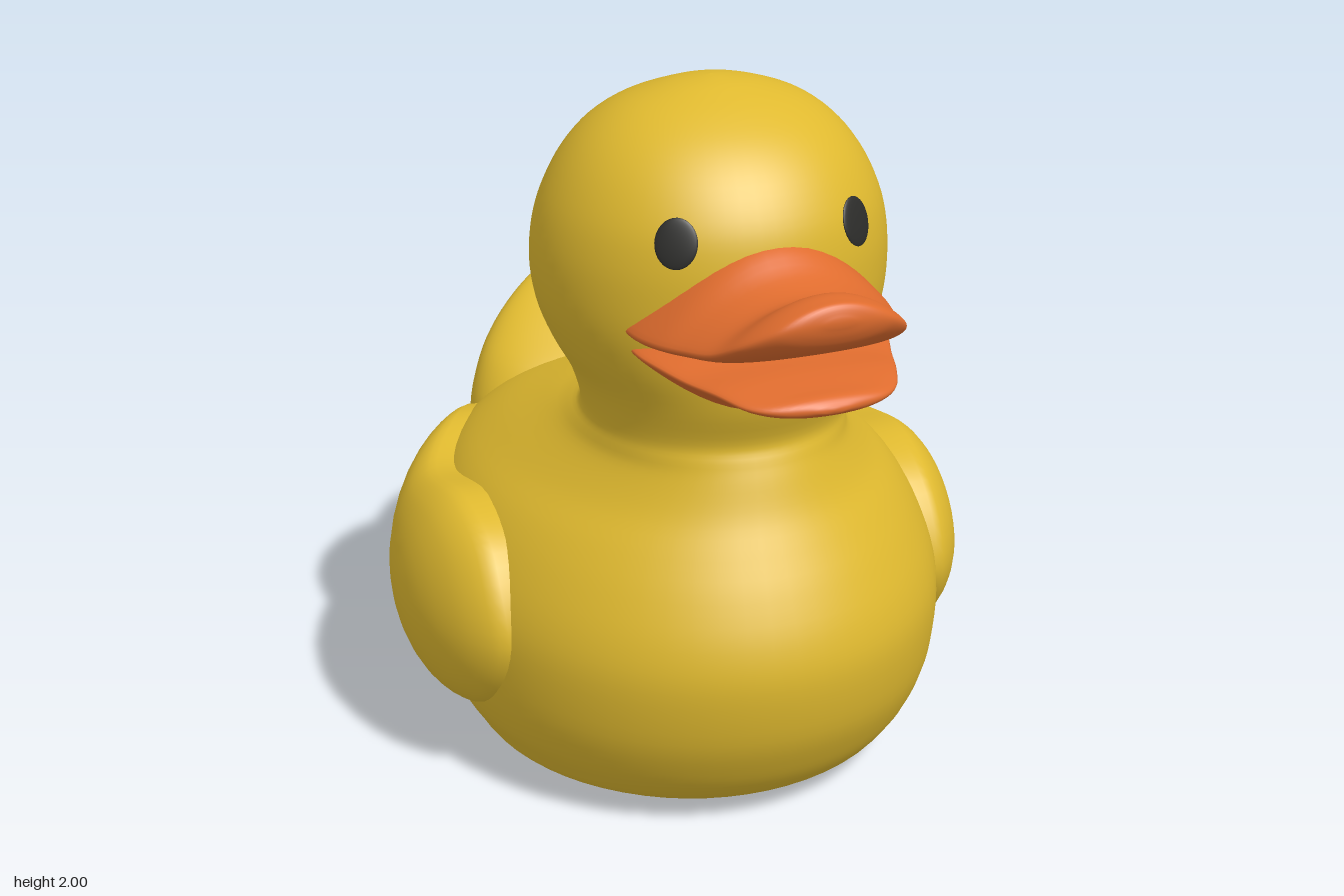
import * as THREE from 'three';

const yellow = new THREE.MeshStandardMaterial({ color: 0xdfb92f });
yellow.name = 'yellow';
const orange = new THREE.MeshStandardMaterial({ color: 0xdf6c2e });
orange.name = 'orange';
const black = new THREE.MeshStandardMaterial({ color: 0x2c2c2a });
black.name = 'black';

// Closed smooth skin over a list of rings with equal point counts, capped at both ends
function skin(rings) {
  const n = rings[0].length, pos = [], index = [];
  rings.forEach(ring => ring.forEach(p => pos.push(p.x, p.y, p.z)));
  for (let i = 0; i < rings.length - 1; i++) {
    for (let j = 0; j < n; j++) {
      const a = i * n + j, b = i * n + (j + 1) % n, c = b + n, d = a + n;
      index.push(a, b, c, a, c, d);
    }
  }
  const last = (rings.length - 1) * n;
  [0, last].forEach(start => {
    const c = new THREE.Vector3();
    rings[start / n].forEach(p => c.addScaledVector(p, 1 / n));
    const k = pos.length / 3;
    pos.push(c.x, c.y, c.z);
    for (let j = 0; j < n; j++) {
      const a = start + j, b = start + (j + 1) % n;
      if (start === 0) index.push(k, b, a);
      else index.push(k, a, b);
    }
  });
  const g = new THREE.BufferGeometry();
  g.setAttribute('position', new THREE.Float32BufferAttribute(pos, 3));
  g.setIndex(index);
  g.computeVertexNormals();
  return g;
}

// Smoothly resample rows of numbers; every column follows the same spline parameter
function smooth(rows, steps) {
  const curves = rows[0].map((_, k) => new THREE.CatmullRomCurve3(
    rows.map((r, i) => new THREE.Vector3(r[k], i, 0)), false, 'catmullrom', 0.5));
  const total = (rows.length - 1) * steps;
  return Array.from({ length: total + 1 }, (_, i) => curves.map(c => c.getPoint(i / total).x));
}

const around = (n, f) => Array.from({ length: n }, (_, j) => f(j / n * Math.PI * 2));

// Stack of horizontal ovals: [y, half width, front z, back z]
function ovalLoft(rows) {
  return skin(smooth(rows, 4).map(([y, w, zf, zb]) => around(64, a => new THREE.Vector3(
    Math.max(w, 0.001) * Math.cos(a), y, (zf + zb) / 2 - Math.max(zf - zb, 0.002) / 2 * Math.sin(a)))));
}

// Bill half along z: [z, half width, side y, rise of top, rise of underside, half thickness]
function billLoft(rows) {
  return skin(smooth(rows, 5).map(([z, w, side, top, under, t]) => around(48, a => {
    const s = Math.sin(a);
    const bell = Math.pow(s * s, 1.2);
    return new THREE.Vector3(w * Math.cos(a), side + (s > 0 ? top : under) * bell + t * s, z);
  })));
}

// Puffed wing: outline rings shrinking toward the middle of a curved outer face
function wing(side) {
  const outline = new THREE.CatmullRomCurve3([
    [0.82, 0], [0.735, 0.21], [0.5, 0.325], [0.3, 0.22], [0.2, 0.02], [0.235, -0.3],
    [0.35, -0.6], [0.49, -0.75], [0.64, -0.8], [0.78, -0.73], [0.83, -0.57], [0.79, -0.3],
  ].map(([y, z]) => new THREE.Vector3(0, y, z)), true).getPoints(72).slice(0, 72);
  const ring = (r, drop) => {
    const pts = outline.map(p => {
      const y = 0.52 + (p.y - 0.52) * r, z = -0.2 + (p.z + 0.2) * r;
      const x = 0.845 - 0.68 * (z + 0.1) ** 2 - (y - 0.5) ** 2 - drop;
      return new THREE.Vector3(side * x, y, z);
    });
    return side < 0 ? pts.reverse() : pts;
  };
  const rings = [ring(0.95, 0.26), ring(0.99, 0.14)];
  for (const r of [1, 0.985, 0.96, 0.92, 0.86, 0.78, 0.65, 0.5, 0.35, 0.2, 0.08]) {
    rings.push(ring(r, 0.07 * (1 - Math.sqrt(1 - r ** 6))));
  }
  return skin(rings);
}

export function createModel() {
  const model = new THREE.Group();
  model.name = 'duck';
  const add = (name, geometry, material) => {
    const mesh = new THREE.Mesh(geometry, material);
    mesh.name = name;
    model.add(mesh);
    return mesh;
  };

  // Body, neck and head in one continuous skin
  add('bodyAndHead', ovalLoft([
    [0, 0.4, 0.42, -0.48], [0.02, 0.51, 0.52, -0.57], [0.06, 0.6, 0.6, -0.67], [0.12, 0.645, 0.665, -0.76],
    [0.2, 0.69, 0.72, -0.84], [0.32, 0.72, 0.775, -0.91], [0.48, 0.73, 0.802, -0.96],
    [0.6, 0.715, 0.785, -0.975], [0.72, 0.67, 0.735, -0.95], [0.82, 0.605, 0.68, -0.88],
    [0.91, 0.51, 0.63, -0.75], [1.0, 0.415, 0.595, -0.49], [1.05, 0.38, 0.575, -0.31],
    [1.1, 0.364, 0.562, -0.195], [1.2, 0.385, 0.6, -0.25], [1.3, 0.437, 0.62, -0.298],
    [1.4, 0.474, 0.628, -0.322], [1.5, 0.487, 0.63, -0.33], [1.6, 0.481, 0.625, -0.317],
    [1.7, 0.455, 0.602, -0.282], [1.8, 0.405, 0.545, -0.222], [1.88, 0.338, 0.465, -0.147],
    [1.94, 0.25, 0.365, -0.052], [1.98, 0.135, 0.265, 0.05], [1.995, 0.05, 0.205, 0.11], [2.0, 0, 0.16, 0.16],
  ]), yellow);

  // Upturned tail
  add('tail', ovalLoft([
    [0.4, 0.36, -0.4, -0.92], [0.55, 0.41, -0.4, -0.965], [0.75, 0.43, -0.42, -0.986], [0.9, 0.385, -0.51, -0.99],
    [1.0, 0.31, -0.65, -0.987], [1.08, 0.215, -0.79, -0.981], [1.13, 0.135, -0.87, -0.972],
    [1.155, 0.07, -0.905, -0.962], [1.165, 0, -0.935, -0.935],
  ]), yellow);

  // Bill
  add('upperBill', billLoft([
    [0.42, 0.36, 1.43, 0.17, 0, 0.045], [0.52, 0.357, 1.43, 0.18, 0, 0.05], [0.61, 0.335, 1.435, 0.175, 0, 0.048],
    [0.7, 0.3, 1.445, 0.112, 0.01, 0.045], [0.8, 0.265, 1.465, 0.07, 0.01, 0.045],
    [0.89, 0.228, 1.51, 0.065, 0.01, 0.05], [0.95, 0.17, 1.55, 0.03, 0, 0.047],
    [0.975, 0.115, 1.57, 0.015, 0, 0.035], [0.987, 0.03, 1.58, 0, 0, 0.01],
  ]), orange);
  add('lowerBill', billLoft([
    [0.42, 0.345, 1.375, 0, -0.14, 0.035], [0.52, 0.345, 1.375, 0, -0.14, 0.035], [0.6, 0.325, 1.37, 0.005, -0.125, 0.035],
    [0.7, 0.287, 1.36, 0.005, -0.08, 0.03], [0.8, 0.25, 1.36, 0, -0.043, 0.03],
    [0.89, 0.205, 1.35, 0, -0.015, 0.028], [0.94, 0.14, 1.347, 0, 0, 0.025], [0.965, 0.03, 1.345, 0, 0, 0.008],
  ]), orange);

  // Wings and eyes on both sides
  for (const [side, label] of [[1, 'left'], [-1, 'right']]) {
    add(label + 'Wing', wing(side), yellow);
    const eye = add(label + 'Eye', new THREE.SphereGeometry(1, 32, 16), black);
    eye.scale.set(0.056, 0.066, 0.009);
    eye.position.set(side * 0.25, 1.675, 0.543);
    eye.lookAt(side * (0.25 + 0.535), 1.675 + 0.27, 0.543 + 0.845);
  }
  return model;
}
